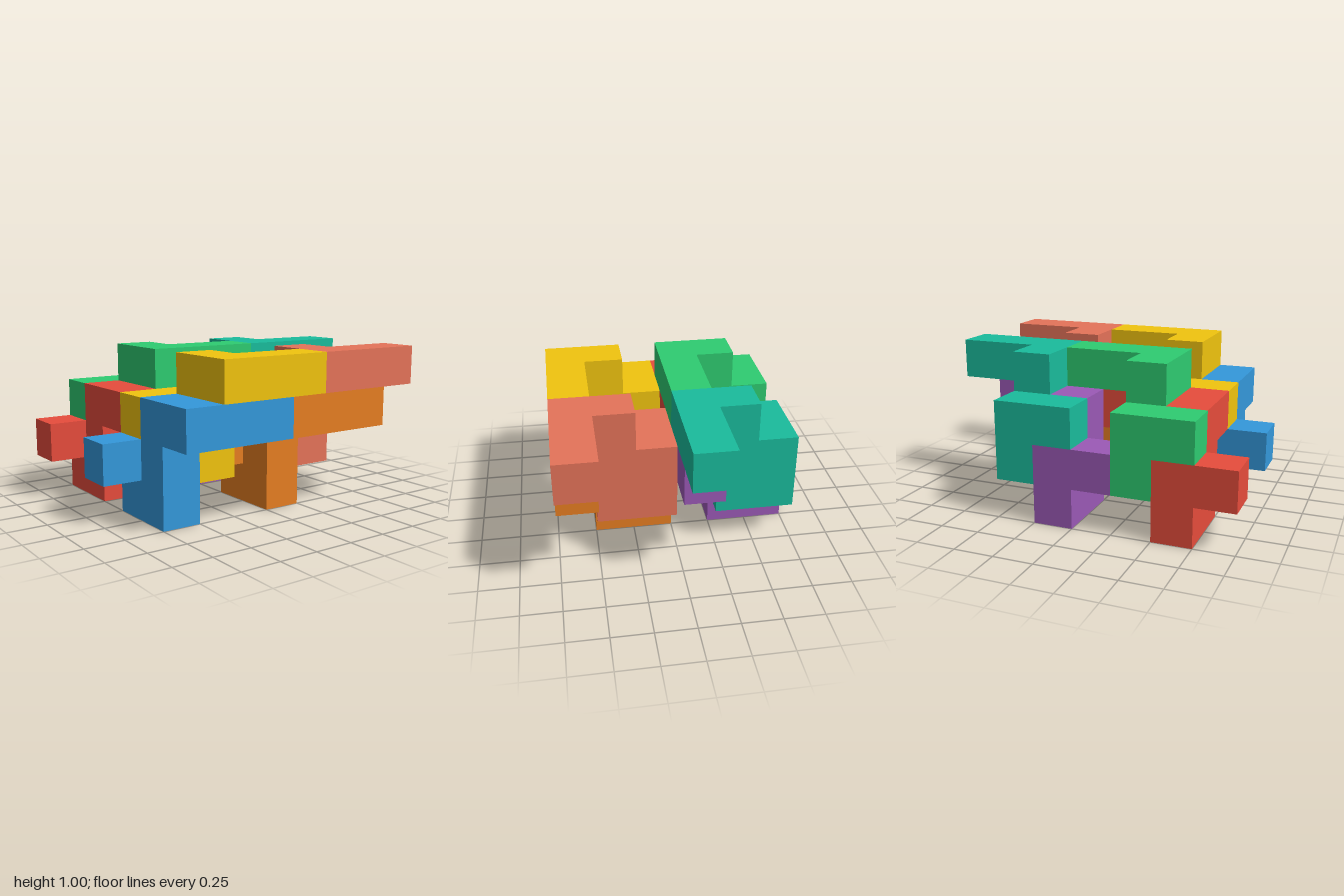
import * as THREE from 'three';
import { mergeGeometries } from 'three/addons/utils/BufferGeometryUtils.js';

const U = 0.25; // edge of one cube

// One puzzle piece as cubes [x, y, z]: back foot, upright and front arm
const CUBES = [
  [0, 1, 0], [1, 1, 0], [1, 0, 0],
  [1, 0, 1], [1, 1, 1], [1, 2, 1],
  [1, 2, 2], [2, 2, 2], [3, 2, 2],
];

const SIDES = [
  [1, 0, 0], [-1, 0, 0], [0, 1, 0], [0, -1, 0], [0, 0, 1], [0, 0, -1],
].map((d) => new THREE.Vector3(...d));

// Joins the outer faces of a set of cubes, leaving out those between neighbours
function polycube(cubes) {
  const filled = new Set(cubes.map(String));
  const faces = [];
  const forward = new THREE.Vector3(0, 0, 1);
  for (const [x, y, z] of cubes) {
    for (const d of SIDES) {
      if (filled.has(String([x + d.x, y + d.y, z + d.z]))) continue;
      const face = new THREE.PlaneGeometry(U, U);
      if (d.z === -1) face.rotateY(Math.PI);
      else face.applyQuaternion(new THREE.Quaternion().setFromUnitVectors(forward, d));
      face.translate((x + 0.5 + d.x / 2) * U, (y + 0.5 + d.y / 2) * U, (z + 0.5 + d.z / 2) * U);
      faces.push(face);
    }
  }
  return mergeGeometries(faces);
}

// Each piece: name, colour and its shift in cubes
const PIECES = [
  ['bluePiece', 0x3498db, [0, 0, 0]],
  ['orangePiece', 0xe67e22, [3, 0, 0]],
  ['yellowPiece', 0xf1c40f, [1, 1, 0]],
  ['salmonPiece', 0xe57359, [4, 1, 0]],
  ['redPiece', 0xe74c3c, [0, 0, -3]],
  ['purplePiece', 0x9b59b6, [3, 0, -3]],
  ['greenPiece', 0x2ecc71, [1, 1, -3]],
  ['tealPiece', 0x1abc9c, [4, 1, -3]],
];

export function createModel() {
  const model = new THREE.Group();
  model.name = 'interlockingPieces';
  const geometry = polycube(CUBES);
  for (const [name, color, [x, y, z]] of PIECES) {
    const piece = new THREE.Mesh(geometry, new THREE.MeshStandardMaterial({ color }));
    piece.name = name;
    piece.position.set(x * U - 1, y * U, z * U);
    model.add(piece);
  }
  return model;
}
